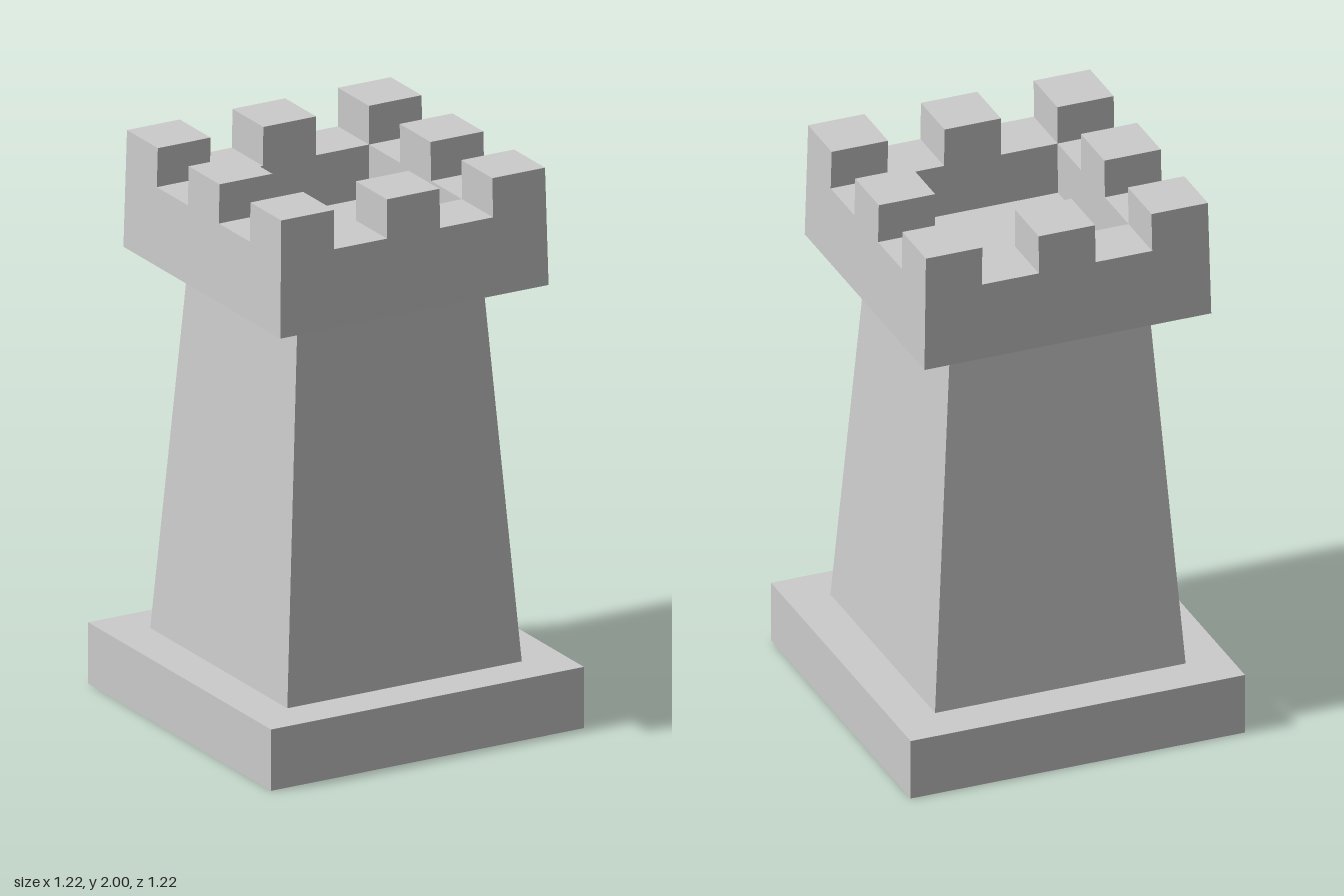
import * as THREE from 'three';

const grey = new THREE.MeshStandardMaterial({ color: 0xcccccc, flatShading: true });

// Square block with sloping sides, given half widths at bottom and top
function taperedBlock(name, bottom, top, y0, y1) {
  const geo = new THREE.CylinderGeometry(top * Math.SQRT2, bottom * Math.SQRT2, y1 - y0, 4, 1);
  geo.rotateY(Math.PI / 4);
  const mesh = new THREE.Mesh(geo, grey);
  mesh.name = name;
  mesh.position.y = (y0 + y1) / 2;
  return mesh;
}

// Battlement: a 5 x 5 grid of cells, each with its own height
function battlement() {
  const edges = [-0.52, -0.312, -0.104, 0.104, 0.312, 0.52];
  const base = 1.58, floor = 1.67, gap = 1.86, top = 2;
  const n = edges.length - 1;
  const height = (i, j) => {
    if (i < 0 || j < 0 || i >= n || j >= n) return base;
    if (i > 0 && j > 0 && i < n - 1 && j < n - 1) return floor;
    return i % 2 === 0 && j % 2 === 0 ? top : gap;
  };
  const pos = [];
  // Sides lean in slightly towards the top
  const put = ([x, z], y) => {
    const s = 1.008 - 0.017 * (y - base) / (top - base);
    pos.push(x * s, y, z * s);
  };
  const quad = (a, ya, b, yb, c, yc, d, yd) => {
    put(a, ya); put(b, yb); put(c, yc);
    put(a, ya); put(c, yc); put(d, yd);
  };
  const neighbours = [[0, 1], [1, 0], [0, -1], [-1, 0]];
  for (let i = 0; i < n; i++) {
    for (let j = 0; j < n; j++) {
      const [x0, x1, z0, z1] = [edges[i], edges[i + 1], edges[j], edges[j + 1]];
      const c = [[x0, z1], [x1, z1], [x1, z0], [x0, z0]];
      const h = height(i, j);
      quad(c[0], h, c[1], h, c[2], h, c[3], h);
      // Walls down to any lower neighbour
      neighbours.forEach(([di, dj], k) => {
        const low = height(i + di, j + dj);
        const a = c[k], b = c[(k + 1) % 4];
        if (low < h) quad(a, low, b, low, b, h, a, h);
      });
    }
  }
  // Overhanging underside
  const e = edges[n];
  quad([-e, -e], base, [e, -e], base, [e, e], base, [-e, e], base);

  const geo = new THREE.BufferGeometry();
  geo.setAttribute('position', new THREE.Float32BufferAttribute(pos, 3));
  geo.computeVertexNormals();
  const mesh = new THREE.Mesh(geo, grey);
  mesh.name = 'battlement';
  return mesh;
}

export function createModel() {
  const group = new THREE.Group();
  group.name = 'rookTower';
  group.add(
    taperedBlock('plinth', 0.611, 0.611, 0, 0.22),
    taperedBlock('shaft', 0.458, 0.362, 0.22, 1.58),
    battlement()
  );
  return group;
}
